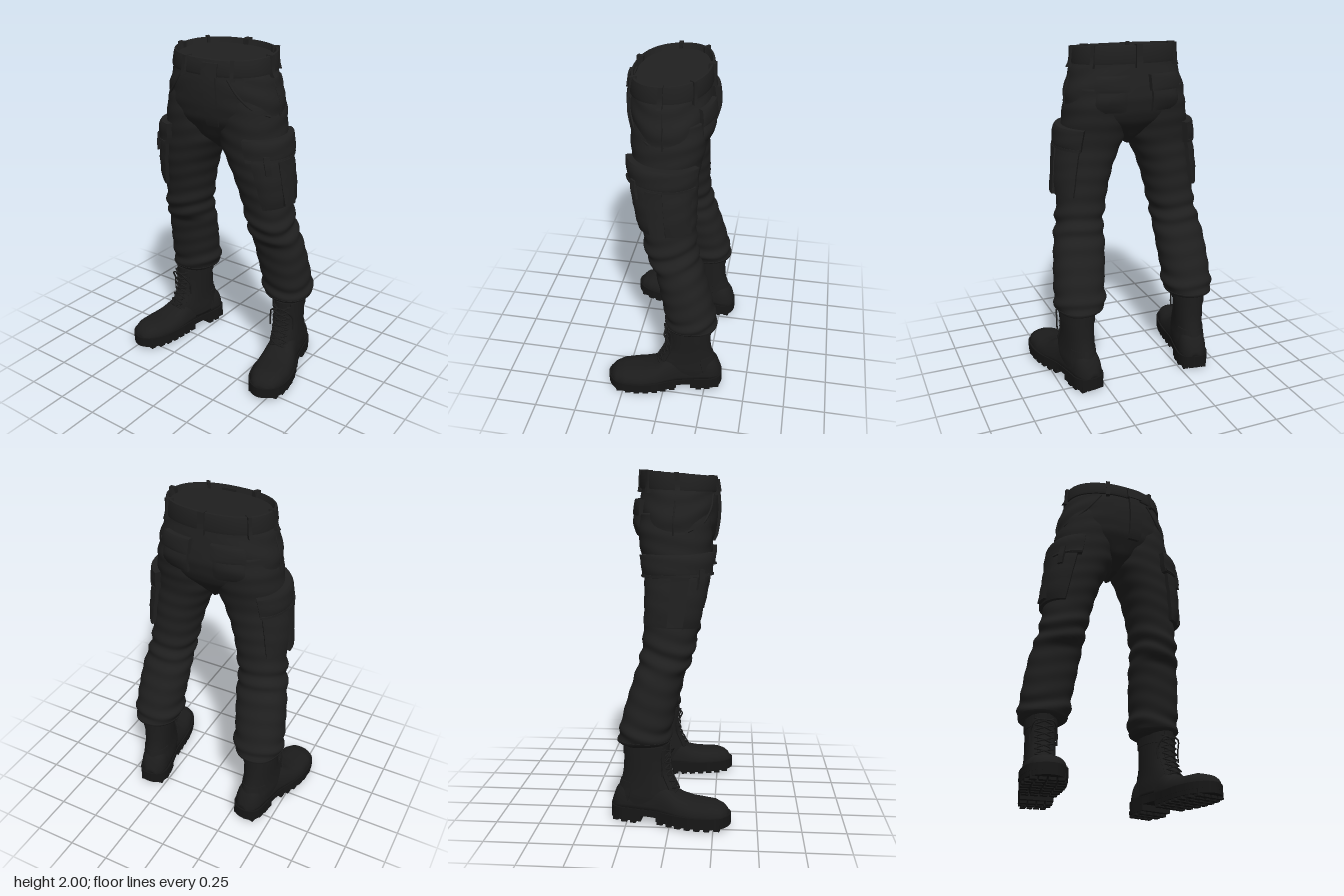
import * as THREE from 'three';
import { toCreasedNormals } from 'three/addons/utils/BufferGeometryUtils.js';

const cloth = new THREE.MeshStandardMaterial({ color: 0x202020 });
cloth.name = 'charcoal cloth';
const leather = new THREE.MeshStandardMaterial({ color: 0x1c1c1c });
leather.name = 'black leather';
const rubber = new THREE.MeshStandardMaterial({ color: 0x171717 });
rubber.name = 'black rubber';

const { sin, cos, abs, sign, pow, exp, PI } = Math;
const V = (x, y, z) => new THREE.Vector3(x, y, z);

// Linear lookup of a row in a table sorted by its first column
function lookup(table, t) {
  let i = 0;
  while (i < table.length - 2 && t > table[i + 1][0]) i++;
  const a = table[i], b = table[i + 1];
  const k = THREE.MathUtils.clamp((t - a[0]) / (b[0] - a[0]), 0, 1);
  return a.map((v, j) => v + (b[j] - v) * k);
}

// Surface around a table of [y, xMin, xMax, zBack, zFront]; a = 0 is +x, a = PI/2 is front
function surface(table, power, wrinkle = () => 0, tilt = () => 0) {
  return (a, y, off = 0) => {
    const r = [-0.012, 0, 0.012].map((d) => lookup(table, y + d));
    const [, x0, x1, z0, z1] = r[0].map((_, j) => (r[0][j] + r[1][j] + r[2][j]) / 3);
    const o = off + wrinkle(a, y), c = cos(a), s = sin(a);
    const x = (x0 + x1) / 2 + ((x1 - x0) / 2 + o) * sign(c) * pow(abs(c), power);
    const z = (z0 + z1) / 2 + ((z1 - z0) / 2 + o) * sign(s) * pow(abs(s), power);
    return V(x, y + tilt(y) * z, z);
  };
}

// Skin closed rings of points, with a fan on each end
function loft(rings) {
  const n = rings[0].length, pos = [], idx = [];
  rings.forEach((r) => r.forEach((p) => pos.push(p.x, p.y, p.z)));
  for (let i = 0; i < rings.length - 1; i++) for (let k = 0; k < n; k++) {
    const a = i * n + k, d = i * n + (k + 1) % n;
    idx.push(a, a + n, d, a + n, d + n, d);
  }
  [0, rings.length - 1].forEach((i) => {
    const c = rings[i].reduce((s, p) => s.add(p), V(0, 0, 0)).divideScalar(n);
    const m = pos.length / 3;
    pos.push(c.x, c.y, c.z);
    for (let k = 0; k < n; k++) {
      const a = i * n + k, b = i * n + (k + 1) % n;
      idx.push(...(i ? [a, m, b] : [b, m, a]));
    }
  });
  const g = new THREE.BufferGeometry();
  g.setAttribute('position', new THREE.Float32BufferAttribute(pos, 3));
  g.setIndex(idx);
  g.computeVertexNormals();
  return g;
}

const ring = (s, y, off, n = 56) => Array.from({ length: n }, (_, k) => s(k / n * 2 * PI, y, off));
const skin = (s, y0, y1, rows) =>
  loft(Array.from({ length: rows + 1 }, (_, i) => ring(s, y0 + (y1 - y0) * i / rows, 0)));

// A box wrapped on a surface: angles a0..a1, heights y0..y1, raised by h and thinned at its rim
function patch(s, a0, a1, y0, y1, h, puff = 0, skew = 0, nx = 14, ny = 10) {
  const g = new THREE.BoxGeometry(1, 1, 1, nx, ny, 1), p = g.attributes.position;
  for (let i = 0; i < p.count; i++) {
    const u = p.getX(i) + 0.5, v = p.getY(i) + 0.5;
    const o = p.getZ(i) > 0 ? h + puff * pow(sin(PI * u) * sin(PI * v), 0.5) : -0.015;
    const q = s(a1 + (a0 - a1) * u, y0 + (y1 - y0) * v + skew * (u - 0.5), o);
    p.setXYZ(i, q.x, q.y, q.z);
  }
  g.computeVertexNormals();
  return g;
}

const tube = (pts, r, seg = 24) =>
  new THREE.TubeGeometry(new THREE.CatmullRomCurve3(pts), seg, r, 6);

function add(group, name, geo, mat) {
  const m = new THREE.Mesh(geo, mat);
  m.name = name;
  group.add(m);
  return m;
}

const hip = surface([
  [1.42, -0.015, 0.015, -0.06, 0.08], [1.46, -0.05, 0.05, -0.1, 0.13], [1.5, -0.15, 0.15, -0.13, 0.17],
  [1.56, -0.3, 0.3, -0.18, 0.2], [1.62, -0.362, 0.362, -0.205, 0.232], [1.7, -0.362, 0.362, -0.22, 0.245],
  [1.78, -0.345, 0.345, -0.212, 0.25], [1.85, -0.32, 0.32, -0.2, 0.246], [1.9, -0.298, 0.298, -0.19, 0.24],
  [1.98, -0.295, 0.295, -0.188, 0.228]], 0.88,
(a, y) => (y < 1.88 ? 0.004 * sin(50 * y + 3 * cos(2 * a)) * abs(cos(a)) : 0),
(y) => -0.08 * THREE.MathUtils.clamp((y - 1.8) / 0.15, 0, 1));

const leg = surface([
  [0.452, 0.29, 0.44, -0.24, -0.05], [0.462, 0.235, 0.485, -0.3, -0.015], [0.49, 0.21, 0.5, -0.308, 0],
  [0.53, 0.2, 0.503, -0.296, 0.002], [0.6, 0.203, 0.498, -0.282, 0.015], [0.7, 0.188, 0.49, -0.256, 0.035],
  [0.8, 0.178, 0.48, -0.225, 0.055], [0.87, 0.17, 0.468, -0.205, 0.07], [0.91, 0.168, 0.46, -0.192, 0.105],
  [0.96, 0.172, 0.445, -0.176, 0.122], [1.02, 0.155, 0.437, -0.168, 0.135], [1.1, 0.142, 0.425, -0.16, 0.142],
  [1.2, 0.12, 0.41, -0.16, 0.165], [1.3, 0.09, 0.4, -0.16, 0.185], [1.4, 0.045, 0.39, -0.16, 0.2],
  [1.46, 0.014, 0.385, -0.165, 0.206], [1.55, 0.002, 0.375, -0.185, 0.215], [1.65, 0.004, 0.362, -0.2, 0.22],
  [1.76, 0.03, 0.33, -0.19, 0.21]], 0.92,
(a, y) => sin(62 * y + 1.8 * sin(a + 0.6) + sin(2 * a)) *
  (0.002 + 0.007 * exp(-pow((y - 0.97) / 0.08, 2)) + 0.006 * exp(-pow((y - 0.53) / 0.05, 2))));

const shaft = surface([
  [0.1, -0.09, 0.09, -0.19, 0.17], [0.16, -0.09, 0.095, -0.172, 0.185], [0.2, -0.086, 0.09, -0.16, 0.18],
  [0.25, -0.085, 0.087, -0.145, 0.152], [0.3, -0.086, 0.086, -0.135, 0.128], [0.38, -0.088, 0.088, -0.13, 0.122],
  [0.48, -0.09, 0.09, -0.13, 0.13]], 0.92);

// Sole plan: [z, inner x, outer x]; and the height of the foot: [z, top]
const plan = [[-0.208, -0.02, 0.02], [-0.19, -0.065, 0.065], [-0.14, -0.092, 0.092], [-0.05, -0.095, 0.097],
  [0.08, -0.088, 0.105], [0.2, -0.1, 0.137], [0.3, -0.105, 0.148], [0.4, -0.09, 0.135], [0.46, -0.058, 0.105],
  [0.495, -0.01, 0.045]];
const footTop = [[-0.2, 0.12], [-0.17, 0.2], [-0.1, 0.25], [0.06, 0.25], [0.15, 0.215], [0.21, 0.178],
  [0.28, 0.16], [0.4, 0.153], [0.45, 0.137], [0.475, 0.115], [0.485, 0.095]];

// A slab of the sole between two z limits
function slab(z0, z1, y0, y1, grow) {
  const side = (c) => plan.map((r) => new THREE.Vector2(r[c] * grow, -r[0]));
  const pts = new THREE.SplineCurve([...side(2), ...side(1).reverse(), side(2)[0]]).getPoints(90).slice(0, -1);
  const kept = pts.filter((p) => -p.y >= z0 && -p.y <= z1);
  const g = new THREE.ExtrudeGeometry(new THREE.Shape(kept), { depth: y1 - y0, bevelEnabled: false });
  return g.rotateX(-PI / 2).translate(0, y0, 0);
}

function makeBoot() {
  const boot = new THREE.Group();
  boot.name = 'boot';
  add(boot, 'bootShaft', skin(shaft, 0.1, 0.48, 24), leather);
  const rings = [];
  for (let i = 0; i <= 40; i++) {
    const z = -0.2 + 0.685 * (1 - pow(1 - i / 40, 1.4));
    const [, x0, x1] = lookup(plan, z), top = lookup(footTop, z)[1] - 0.075;
    rings.push(Array.from({ length: 25 }, (_, k) => {
      const a = PI * (1 - k / 24), c = cos(a);
      return V((x0 + x1) / 2 + 0.465 * (x1 - x0) * sign(c) * pow(abs(c), 0.75), 0.075 + top * pow(abs(sin(a)), 0.8), z);
    }));
  }
  add(boot, 'bootFoot', loft(rings), leather);
  add(boot, 'heelCounter', patch(shaft, PI * 1.15, PI * 1.85, 0.1, 0.24, 0.004), leather);
  add(boot, 'collar', patch(shaft, PI * 0.68, PI * 2.32, 0.4, 0.46, 0.006, 0, 0, 30, 2), leather);

  // Sole: welt, forefoot tread, heel block and lugs
  add(boot, 'welt', slab(-1, 1, 0.05, 0.088, 1), rubber);
  add(boot, 'foreSole', slab(0.07, 1, 0.025, 0.05, 0.98), rubber);
  add(boot, 'heelBlock', slab(-1, -0.0, 0.015, 0.05, 0.99), rubber);
  for (let z = -0.17; z < 0.47; z += 0.055) {
    if (z > -0.02 && z < 0.09) continue;
    const [, x0, x1] = lookup(plan, z), w = x1 - x0, y = z < 0 ? 0 : 0.01;
    for (const k of [0.12, 0.37, 0.63, 0.88]) {
      const lug = add(boot, 'lug', new THREE.BoxGeometry(w * 0.2, 0.04, 0.034), rubber);
      lug.position.set(x0 + w * k, y + 0.02, z);
    }
  }

  // Tongue, eyelet facings and crossed laces
  add(boot, 'tongue', patch(shaft, 1.25, 1.89, 0.2, 0.47, 0.007), leather);
  for (const s of [-1, 1]) {
    const a = PI / 2 + s * 0.5;
    add(boot, 'facing', patch(shaft, a - 0.14, a + 0.14, 0.17, 0.44, 0.009, 0, 0, 4, 10), leather);
    for (let i = 0; i < 7; i++) {
      const y = 0.19 + i * 0.036;
      add(boot, 'lace', tube([0, 0.5, 1].map((t) =>
        shaft(PI / 2 + s * 0.5 * (1 - 2 * t), y + 0.034 * t, 0.017)), 0.0055, 8), leather);
    }
    add(boot, 'laceEnd', tube([shaft(PI / 2, 0.43, 0.016), shaft(PI / 2 - s * 0.4, 0.42, 0.035),
      shaft(PI / 2 - s * 0.7, 0.36, 0.025), shaft(PI / 2 - s * 0.75, 0.29, 0.02)], 0.005), leather);
  }
  boot.position.set(0.37, 0, -0.14);
  boot.rotation.y = 0.17;
  return boot;
}

// One side of the trousers with its pockets and boot
function makeSide() {
  const g = new THREE.Group();
  add(g, 'trouserLeg', skin(leg, 0.452, 1.76, 110), cloth);
  add(g, 'hemBand', patch(leg, 0, 2 * PI, 0.468, 0.49, 0.004, 0, 0, 56, 2), cloth);

  // Cargo pocket: bellows, pleat, flap and pull tab
  add(g, 'cargoPocket', patch(leg, -0.92, 1.15, 1.14, 1.46, 0.022, 0.02, 0.02), cloth);
  add(g, 'pocketPleat', patch(leg, -0.05, 0.35, 1.15, 1.42, 0.046, 0, 0, 6, 6), cloth);
  add(g, 'pocketFlap', patch(leg, -0.98, 1.28, 1.415, 1.54, 0.034, 0.012, -0.01), cloth);
  add(g, 'flapHem', patch(leg, -0.96, 1.26, 1.418, 1.432, 0.043, 0, -0.01), cloth);
  add(g, 'flapTab', patch(leg, 0.62, 0.78, 1.35, 1.46, 0.052, 0, 0, 3, 6), cloth);

  // Slanted hand pocket, side seam and back pocket
  add(g, 'handPocketEdge', tube([[1.1, 1.87], [0.95, 1.78], [0.68, 1.7], [0.3, 1.66]]
    .map(([a, y]) => hip(a, y, 0.002)), 0.007), cloth);
  add(g, 'sideSeam', tube([1.64, 1.72, 1.8, 1.88].map((y) => hip(0, y, 0.001)), 0.005), cloth);
  add(g, 'backPocket', patch(hip, -1.4, -0.9, 1.63, 1.79, 0.016, 0.012), cloth);
  add(g, 'backPocketFlap', patch(hip, -1.43, -0.87, 1.745, 1.83, 0.028, 0.006), cloth);

  g.add(makeBoot());
  return g;
}

export function createModel() {
  const model = new THREE.Group();
  model.name = 'cargoTrousersAndBoots';

  // Hips, waistband with a sunken top, and fly
  add(model, 'hips', skin(hip, 1.42, 1.93, 44), cloth);
  const band = [[1.885, -0.01], [1.885, 0.01], [1.9, 0.016], [1.96, 0.014], [1.978, 0.01], [1.98, 0], [1.95, -0.012]];
  add(model, 'waistband', toCreasedNormals(loft(band.map(([y, o]) => ring(hip, y, o))), 0.7), cloth);
  add(model, 'fly', patch(hip, 1.33, 1.52, 1.59, 1.9, 0.018, 0, 0, 5, 10), cloth);
  add(model, 'waistTab', patch(hip, 1.28, 1.55, 1.885, 1.965, 0.026, 0, 0, 5, 4), cloth);

  // Belt loops, standing slightly off the waistband
  for (const a of [1.0, 1.9, 0.03, PI - 0.03, -0.72, PI + 0.72, -PI / 2]) {
    add(model, 'beltLoop', patch(hip, a - 0.04, a + 0.04, 1.865, 1.984, 0.026, 0, 0, 2, 6), cloth);
  }

  // Both legs, the right one mirrored
  for (const s of [1, -1]) {
    const side = makeSide();
    side.name = s > 0 ? 'leftLeg' : 'rightLeg';
    side.scale.x = s;
    model.add(side);
  }
  return model;
}
